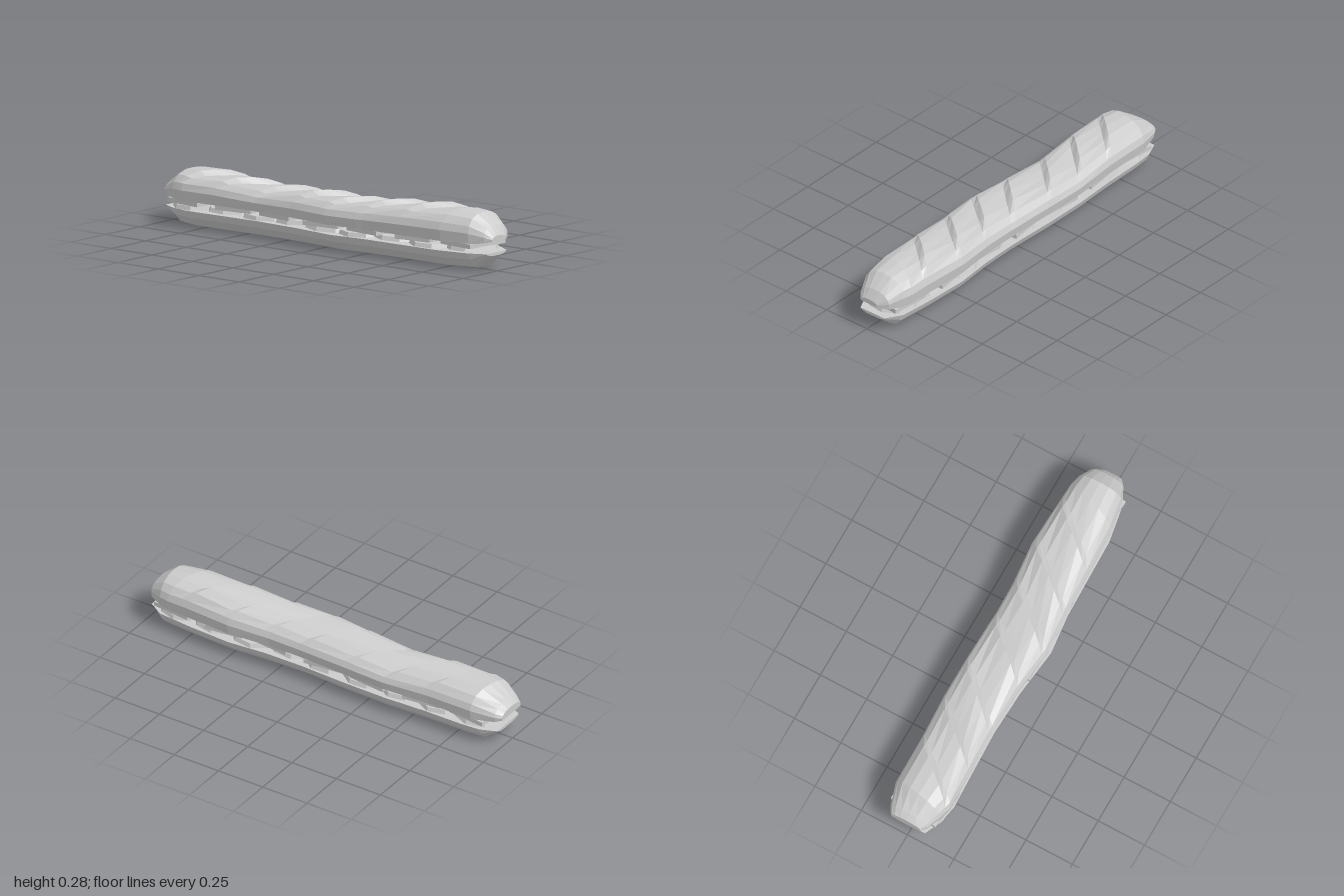
import * as THREE from 'three';

const material = new THREE.MeshStandardMaterial({ color: 0xcccccc, flatShading: true });

// Piecewise linear lookup in a list of [x, value]
function at(table, x) {
  if (x <= table[0][0]) return table[0][1];
  for (let i = 1; i < table.length; i++) {
    const [x0, v0] = table[i - 1], [x1, v1] = table[i];
    if (x <= x1) return v0 + (v1 - v0) * (x - x0) / (x1 - x0);
  }
  return table[table.length - 1][1];
}

// Loaf outline along its length: back edge, front edge and crest height
const back = [[-1, -0.09], [-0.97, -0.11], [-0.88, -0.145], [-0.6, -0.147], [-0.35, -0.16], [0, -0.155],
  [0.2, -0.142], [0.5, -0.17], [0.88, -0.152], [0.97, -0.11], [1, -0.06]];
const front = [[-1, 0.07], [-0.95, 0.11], [-0.83, 0.145], [-0.4, 0.127], [-0.2, 0.132], [0.12, 0.168],
  [0.3, 0.143], [0.72, 0.133], [0.9, 0.1], [0.98, 0.06], [1, 0.04]];
const crest = [[-1, 0.185], [-0.9, 0.265], [-0.65, 0.268], [-0.37, 0.24], [-0.1, 0.258], [0.15, 0.25],
  [0.3, 0.26], [0.5, 0.272], [0.7, 0.284], [0.9, 0.27], [0.97, 0.215], [1, 0.17]];
const middle = x => (at(back, x) + at(front, x)) / 2;
const half = x => (at(front, x) - at(back, x)) / 2;

// Skin closed rings of points and cap both ends
function loft(name, rings) {
  const p = [], n = rings[0].length;
  const tri = (...corners) => corners.forEach(c => p.push(...c.toArray()));
  for (let i = 0; i < rings.length - 1; i++) {
    for (let j = 0; j < n; j++) {
      const k = (j + 1) % n, r = rings[i], s = rings[i + 1];
      tri(r[j], r[k], s[j]);
      tri(s[j], r[k], s[k]);
    }
  }
  for (const end of [0, rings.length - 1]) {
    const ring = rings[end], c = new THREE.Vector3();
    ring.forEach(v => c.addScaledVector(v, 1 / n));
    ring.forEach((v, j) => {
      const w = ring[(j + 1) % n];
      end ? tri(c, v, w) : tri(c, w, v);
    });
  }
  const g = new THREE.BufferGeometry();
  g.setAttribute('position', new THREE.Float32BufferAttribute(p, 3));
  g.computeVertexNormals();
  const mesh = new THREE.Mesh(g, material);
  mesh.name = name;
  return mesh;
}

// Upper half: domed section, with slanted rings that form the baker's slashes
function topBread() {
  const section = [[-0.95, 0], [-1, 0.36], [-0.92, 0.6], [-0.72, 0.83], [-0.38, 0.97], [0, 1],
    [0.38, 0.97], [0.72, 0.83], [0.92, 0.6], [1, 0.36], [0.95, 0]];
  const stations = [[-1, 0, 0], [-0.97, 0, 0], [-0.88, 0.2, 0]];
  for (const x of [-0.73, -0.51, -0.29, -0.03, 0.17, 0.39, 0.63]) {
    stations.push([x - 0.015, 1, -0.004], [x + 0.02, 1, 0.022]);
  }
  stations.push([0.8, 0.4, 0], [0.9, 0, 0], [0.97, 0, 0], [1, 0, 0]);
  return loft('topBread', stations.map(([x, slant, cut]) => section.map(([u, v]) => {
    const px = x - slant * u * 0.13;
    const base = 0.13 + 0.015 * Math.max(0, (Math.abs(px) - 0.95) / 0.05);
    const dip = cut * Math.max(0, 1 - u * u * 1.3) * (v > 0.7 ? 1 : 0);
    return new THREE.Vector3(px, base + (at(crest, px) - base) * v - dip, middle(px) + half(px) * u);
  })));
}

// Lower half: shallow boat-shaped section with a flat cut face
function bottomBread() {
  const section = [[1, 1], [0.9, 0.6], [0.62, 0.13], [0.35, 0], [-0.35, 0], [-0.62, 0.13], [-0.9, 0.6], [-1, 1]];
  const rise = [[-0.98, 0.07], [-0.9, 0.006], [-0.8, 0], [0.8, 0], [0.9, 0.006], [0.98, 0.07]];
  const stations = [-0.98, -0.9, -0.8, -0.6, -0.38, -0.15, 0.1, 0.3, 0.5, 0.72, 0.9, 0.98];
  return loft('bottomBread', stations.map(x => section.map(([u, v]) => {
    const low = at(rise, x);
    return new THREE.Vector3(x, low + (0.085 - low) * v, middle(x) + half(x) * u * 0.97);
  })));
}

// One slice of filling: a low disc, slightly tipped
function slice(name, x, y, z, radius, height, sides, tilt) {
  const mesh = new THREE.Mesh(new THREE.CylinderGeometry(radius * 0.94, radius, height, sides), material);
  mesh.name = name;
  mesh.position.set(x, y, z);
  mesh.rotation.set(0, x * 3, tilt);
  return mesh;
}

export function createModel() {
  const model = new THREE.Group();
  model.name = 'baguetteSandwich';
  model.add(topBread(), bottomBread());

  // Overlapping round slices resting on the lower bread
  const lower = new THREE.Group();
  lower.name = 'lowerSlices';
  for (let i = 0; i < 9; i++) {
    const x = -0.83 + i * 0.2075;
    lower.add(slice('roundSlice', x, 0.098, middle(x), half(x) * 0.95, 0.02, 9, i % 2 ? 0.03 : -0.03));
  }

  // Thin square slices under the upper bread
  const upper = new THREE.Group();
  upper.name = 'upperSlices';
  for (let i = 0; i < 7; i++) {
    const x = -0.83 + i * 0.277;
    const sheet = new THREE.Mesh(new THREE.BoxGeometry(0.2, 0.022, half(x) * 1.75), material);
    sheet.name = 'squareSlice';
    sheet.position.set(x, 0.12, middle(x));
    sheet.rotation.set(0, i % 2 ? 0.12 : -0.1, 0);
    upper.add(sheet);
  }

  model.add(lower, upper);
  return model;
}
